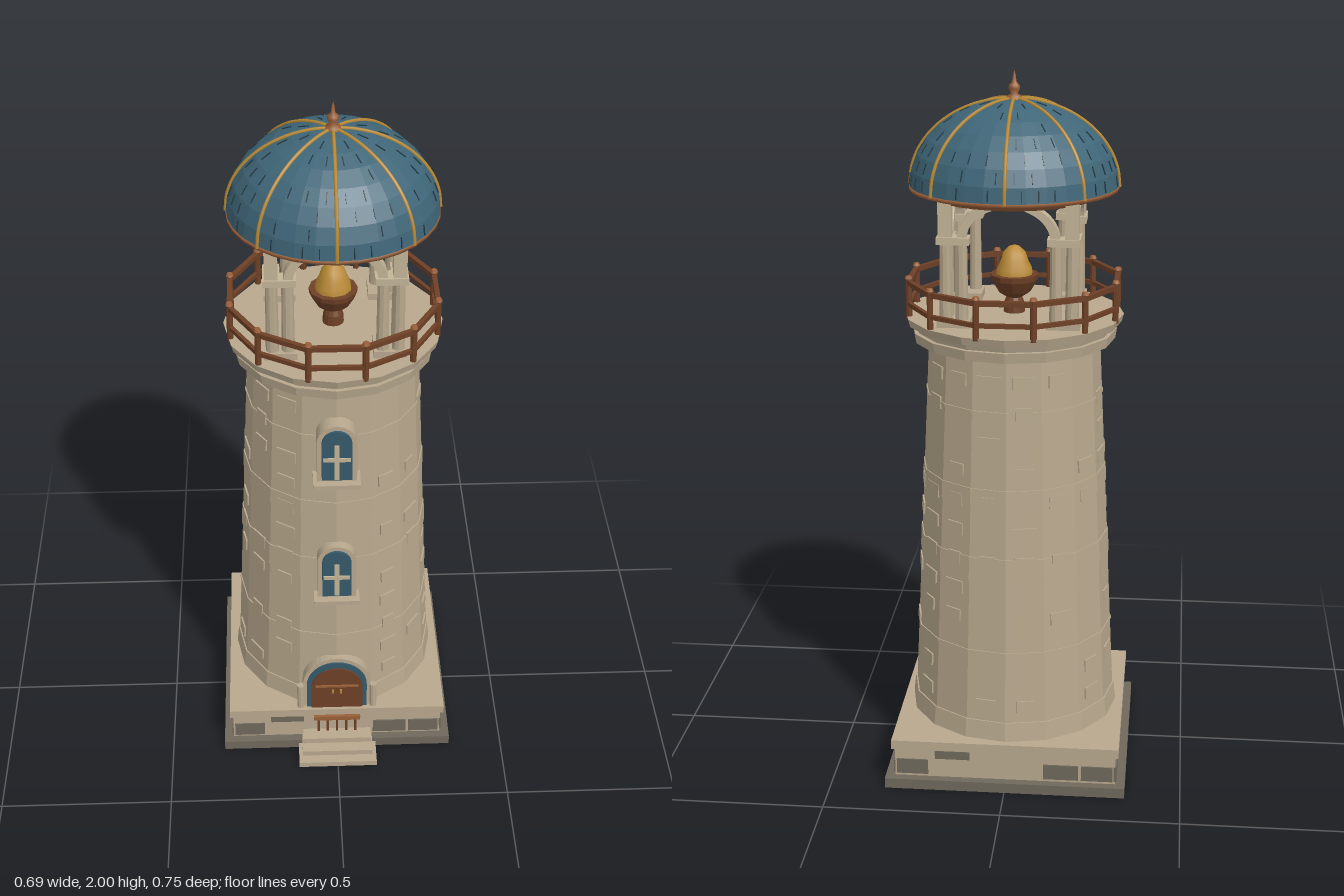
import * as THREE from 'three';

const mat = (name, color, extra = {}) => {
  const m = new THREE.MeshStandardMaterial({ color, ...extra });
  m.name = name;
  return m;
};

export function createModel() {
  const flat = { flatShading: true };
  const stone = mat('stone', 0xb8a88d, flat);
  const trim = mat('paleStone', 0xc3b498, flat);
  const darkStone = mat('darkStone', 0x6f685c, flat);
  const roof = mat('roofTile', 0x3f6678, { flatShading: true, side: THREE.DoubleSide });
  const seam = mat('tileSeam', 0x223a45);
  const wood = mat('wood', 0x6e4026, { flatShading: true, side: THREE.DoubleSide });
  const copper = mat('copper', 0x9a5f38);
  const gold = mat('gold', 0xb98a35);
  const glass = mat('glass', 0x35596a);

  const model = new THREE.Group();
  model.name = 'lighthouse';
  const tower = new THREE.Group();
  tower.name = 'tower';
  tower.position.z = -0.043;
  model.add(tower);

  const add = (parent, name, geo, m, x = 0, y = 0, z = 0) => {
    const mesh = new THREE.Mesh(geo, m);
    mesh.name = name;
    mesh.position.set(x, y, z);
    parent.add(mesh);
    return mesh;
  };
  // box given by its bottom height
  const box = (p, name, m, w, h, d, x, y, z) => add(p, name, new THREE.BoxGeometry(w, h, d), m, x, y + h / 2, z);
  const drum = (p, name, m, rTop, rBot, y0, y1, sides = 16, x = 0, z = 0) =>
    add(p, name, new THREE.CylinderGeometry(rTop, rBot, y1 - y0, sides), m, x, (y0 + y1) / 2, z);
  const lathe = (p, name, m, pts, sides = 16) =>
    add(p, name, new THREE.LatheGeometry(pts.map(q => new THREE.Vector2(...q)), sides), m);
  let seed = 7;
  const rand = () => (seed = (seed * 16807) % 2147483647) / 2147483647;

  // round-headed outline, optionally with a smaller opening
  const archPath = (P, w, h, y0 = 0) => {
    const s = new P();
    s.moveTo(-w, y0).lineTo(w, y0).lineTo(w, h - w).absarc(0, h - w, w, 0, Math.PI, false).lineTo(-w, y0);
    return s;
  };
  const arch = (w, h, depth, hole) => {
    const s = archPath(THREE.Shape, w, h);
    if (hole) s.holes.push(archPath(THREE.Path, hole[0], hole[1], hole[2]));
    return new THREE.ExtrudeGeometry(s, { depth, bevelEnabled: false, curveSegments: 10 });
  };

  // square plinth
  box(tower, 'footing', darkStone, 0.685, 0.03, 0.67, 0, 0, 0);
  box(tower, 'plinthBody', stone, 0.63, 0.09, 0.62, 0, 0.03, 0);
  box(tower, 'plinthSlab', stone, 0.648, 0.027, 0.644, 0, 0.118, 0);
  // darker bricks on each plinth face
  for (let i = 0; i < 4; i++) {
    const face = new THREE.Group();
    face.name = 'plinthBricks';
    face.rotation.y = i * Math.PI / 2;
    tower.add(face);
    const d = i % 2 ? 0.315 : 0.31;
    box(face, 'brick', darkStone, 0.09, 0.045, 0.008, -0.265, 0.038, d);
    box(face, 'brick', darkStone, 0.1, 0.045, 0.008, 0.16, 0.038, d);
    box(face, 'brick', darkStone, 0.09, 0.045, 0.008, 0.263, 0.038, d);
    box(face, 'brick', darkStone, 0.1, 0.025, 0.008, -0.15, 0.088, d);
  }

  // front steps
  [[0.234, 0.017, 0.375], [0.212, 0.034, 0.345], [0.205, 0.052, 0.31]].forEach(([w, h, z]) =>
    box(model, 'step', stone, w, h, z - 0.25, 0, 0, (z + 0.25) / 2));
  // low barrier under the doorway
  box(model, 'barrierBar', copper, 0.14, 0.014, 0.01, 0, 0.108, 0.284);
  for (let i = -2; i <= 2; i++) box(model, 'barrierLeg', wood, 0.007, 0.055, 0.008, i * 0.028, 0.055, 0.276);

  // tapered shaft
  const radius = y => 0.292 - (y - 0.2) * 0.048;
  drum(tower, 'shaft', stone, radius(1.27), radius(0.14), 0.14, 1.27);
  drum(tower, 'shaftFoot', stone, 0.296, 0.302, 0.145, 0.2);
  [[0.405, 0.412], [0.62, 0.69], [0.84, 0.89], [1.105, 1.112]].forEach(([a, b]) =>
    drum(tower, 'shaftBand', stone, radius(b) + 0.003, radius(a) + 0.003, a, b));
  // slightly raised stones centred on the facets
  for (let row = 0; row < 12; row++) {
    for (let k = 0; k < 16; k++) {
      if (rand() < 0.55 || k === 0 || k === 15) continue;
      const y = 0.23 + row * 0.086, g = new THREE.Group();
      g.name = 'raisedStone';
      g.rotation.y = (k + 0.5) * Math.PI / 8;
      tower.add(g);
      const s = box(g, 'stone', stone, 0.04 + rand() * 0.03, 0.035, 0.008, 0, y, radius(y) * 0.981);
      s.rotation.x = -0.047;
    }
  }

  // cornice and gallery floor
  drum(tower, 'cornice', stone, 0.287, 0.283, 1.262, 1.29);
  drum(tower, 'corniceNeck', trim, 0.283, 0.275, 1.29, 1.31);
  drum(tower, 'galleryFloor', stone, 0.306, 0.3, 1.31, 1.332);

  // gallery railing with twelve posts
  const R = 0.295, span = 2 * R * Math.sin(Math.PI / 12);
  for (let i = 0; i < 12; i++) {
    const bay = new THREE.Group();
    bay.name = 'railingBay';
    bay.rotation.y = i * Math.PI / 6;
    tower.add(bay);
    const mid = R * Math.cos(Math.PI / 12);
    box(bay, 'topRail', wood, span, 0.014, 0.014, 0, 1.42, mid);
    box(bay, 'lowRail', wood, span, 0.012, 0.011, 0, 1.36, mid);
    drum(bay, 'post', wood, 0.009, 0.009, 1.325, 1.44, 8, span / 2, mid);
    drum(bay, 'postCap', copper, 0.008, 0.011, 1.437, 1.445, 8, span / 2, mid);
  }

  // four clustered piers and the arches between them
  for (let i = 0; i < 4; i++) {
    const side = new THREE.Group();
    side.name = 'lanternSide';
    side.rotation.y = i * Math.PI / 2;
    tower.add(side);
    box(side, 'pierBase', stone, 0.09, 0.02, 0.09, 0.148, 1.332, 0.148);
    [[0.17, 0.17], [0.17, 0.127], [0.127, 0.17]].forEach(([x, z]) => {
      drum(side, 'colonnette', stone, 0.016, 0.018, 1.35, 1.56, 10, x, z);
      box(side, 'capital', trim, 0.046, 0.02, 0.046, x, 1.56, z);
    });
    box(side, 'cornerPost', trim, 0.036, 0.1, 0.036, 0.17, 1.58, 0.17);
    const s = new THREE.Shape();
    s.moveTo(0.138, 0).absarc(0, 0, 0.138, 0, Math.PI, false).lineTo(-0.113, 0).absarc(0, 0, 0.113, Math.PI, 0, true);
    const g = new THREE.ExtrudeGeometry(s, { depth: 0.034, bevelEnabled: false, curveSegments: 12 });
    g.scale(1, 0.78, 1);
    add(side, 'lanternArch', g, trim, 0, 1.572, 0.152);
  }

  // brazier
  lathe(tower, 'brazierBowl', wood, [[0, 1.332], [0.03, 1.332], [0.028, 1.36], [0.022, 1.375], [0.045, 1.39],
    [0.066, 1.425], [0.068, 1.44], [0, 1.44]], 12);
  lathe(tower, 'flame', gold, [[0.052, 1.438], [0.05, 1.455], [0.04, 1.475], [0.032, 1.5], [0.015, 1.517], [0, 1.522]], 10);

  // dome, its ring and lining
  const A = 0.287, B = 0.236, Y = 1.688;
  const domePoint = (t, k = 1) => [Math.max(A * k * Math.cos(t), 0), Y + B * k * Math.sin(t)];
  const rows = 8, domePts = k => Array.from({ length: rows + 1 }, (_, i) => domePoint(i / rows * Math.PI / 2, k));
  lathe(tower, 'dome', roof, domePts(1), 32);
  lathe(tower, 'domeLining', wood, domePts(0.95), 24);
  lathe(tower, 'domeRing', copper, [[0.205, 1.69], [0.205, 1.664], [0.235, 1.664], [0.235, 1.682], [0.288, 1.682],
    [0.288, 1.692], [0.27, 1.692]], 32);
  // tile joints
  for (let row = 0; row < rows - 1; row++) {
    const n = 40 - row * 4;
    for (let k = 0; k < n; k++) {
      if (rand() < 0.45) continue;
      const t = (row + 0.5) / rows * Math.PI / 2, [r, y] = domePoint(t);
      const g = new THREE.Group();
      g.name = 'tileJoint';
      g.rotation.y = (k + 0.5 * (row % 2)) / n * Math.PI * 2;
      tower.add(g);
      const j = add(g, 'joint', new THREE.BoxGeometry(0.0025, 0.03, 0.003), seam, 0, y, r - 0.001);
      j.rotation.x = Math.atan2(-A * Math.sin(t), B * Math.cos(t));
    }
  }
  // eight ribs
  const ribCurve = new THREE.CatmullRomCurve3(domePts(1.003).map(([r, y]) => new THREE.Vector3(0, y, r)));
  const ribGeo = new THREE.TubeGeometry(ribCurve, 24, 0.005, 6);
  for (let i = 0; i < 8; i++) add(tower, 'domeRib', ribGeo, gold).rotation.y = i * Math.PI / 4;
  lathe(tower, 'finial', copper, [[0.024, 1.915], [0.02, 1.93], [0.009, 1.937], [0.016, 1.95], [0.014, 1.96],
    [0.006, 1.968], [0.004, 1.985], [0, 2]], 12);

  // windows
  [0.567, 0.99].forEach(y => {
    const w = new THREE.Group();
    w.name = 'window';
    w.position.y = y;
    model.add(w);
    add(w, 'windowFrame', arch(0.056, 0.186, 0.085, [0.04, 0.17, 0.012]), stone, 0, 0, 0.162);
    add(w, 'windowPane', arch(0.042, 0.163, 0.085), glass, 0, 0.01, 0.17);
    box(w, 'mullion', trim, 0.014, 0.115, 0.006, 0, 0.015, 0.256);
    box(w, 'crossbar', trim, 0.076, 0.012, 0.006, 0, 0.075, 0.256);
    box(w, 'sill', stone, 0.132, 0.014, 0.1, 0, -0.012, 0.22);
  });

  // doorway
  const door = new THREE.Group();
  door.name = 'doorway';
  door.position.y = 0.145;
  model.add(door);
  add(door, 'doorSurround', arch(0.102, 0.188, 0.065), stone, 0, 0, 0.195);
  add(door, 'doorFrame', arch(0.09, 0.175, 0.025), glass, 0, 0, 0.24);
  add(door, 'doorLeaf', arch(0.077, 0.155, 0.02), wood, 0, 0, 0.25);
  box(door, 'hinge', copper, 0.13, 0.007, 0.004, 0, 0.085, 0.272);
  [-1, 1].forEach(s => {
    drum(door, 'doorPost', stone, 0.011, 0.011, 0, 0.085, 10, s * 0.109, 0.26);
    box(door, 'handle', gold, 0.006, 0.014, 0.005, s * 0.012, 0.06, 0.272);
  });
  return model;
}
